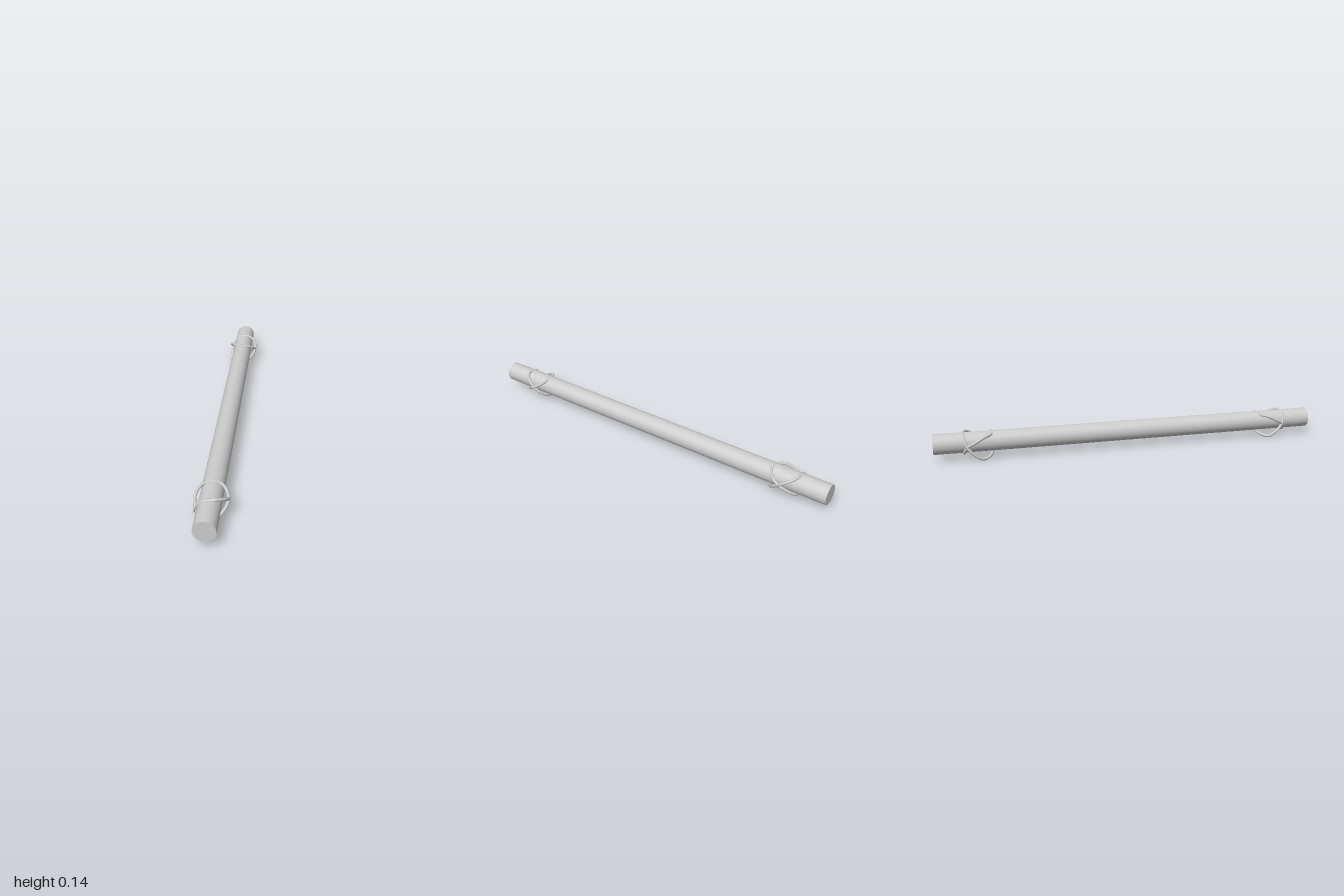
import * as THREE from 'three';

export function createModel() {
  const group = new THREE.Group();
  group.name = 'boundRod';
  const material = new THREE.MeshStandardMaterial({ color: 0xcccccc });

  // Long round rod lying along z
  const rod = new THREE.Mesh(new THREE.CylinderGeometry(0.051, 0.051, 2, 32), material);
  rod.name = 'rod';
  rod.rotation.x = Math.PI / 2;
  rod.position.set(-0.004, 0.083, 0);
  group.add(rod);

  // Two slanted rope rings that cross on both sides of the rod
  const rings = {
    fallingRing: [
      [0, 0.13, 0.852], [0.03, 0.13, 0.846], [0.06, 0.116, 0.82], [0.073, 0.09, 0.78], [0.06, 0.056, 0.74],
      [0.03, 0.034, 0.717], [-0.005, 0.026, 0.713], [-0.045, 0.012, 0.733], [-0.066, 0.008, 0.765],
      [-0.07, 0.035, 0.805], [-0.064, 0.07, 0.836], [-0.046, 0.108, 0.85], [-0.025, 0.126, 0.853],
    ],
    risingRing: [
      [0, 0.03, 0.852], [0.03, 0.038, 0.846], [0.055, 0.057, 0.82], [0.071, 0.082, 0.78], [0.06, 0.103, 0.74],
      [0.035, 0.121, 0.717], [0, 0.128, 0.712], [-0.035, 0.123, 0.72], [-0.062, 0.117, 0.755],
      [-0.072, 0.097, 0.795], [-0.062, 0.072, 0.836], [-0.045, 0.045, 0.85], [-0.025, 0.034, 0.853],
    ],
  };

  // The same tie at both ends, mirrored front to back
  for (const side of [1, -1]) {
    const tie = new THREE.Group();
    tie.name = side > 0 ? 'frontTie' : 'backTie';
    for (const [name, points] of Object.entries(rings)) {
      const path = new THREE.CatmullRomCurve3(
        points.map(([x, y, z]) => new THREE.Vector3(x, y, z * side)), true);
      const rope = new THREE.Mesh(new THREE.TubeGeometry(path, 40, 0.0075, 8, true), material);
      rope.name = name;
      tie.add(rope);
    }
    group.add(tie);
  }
  return group;
}
